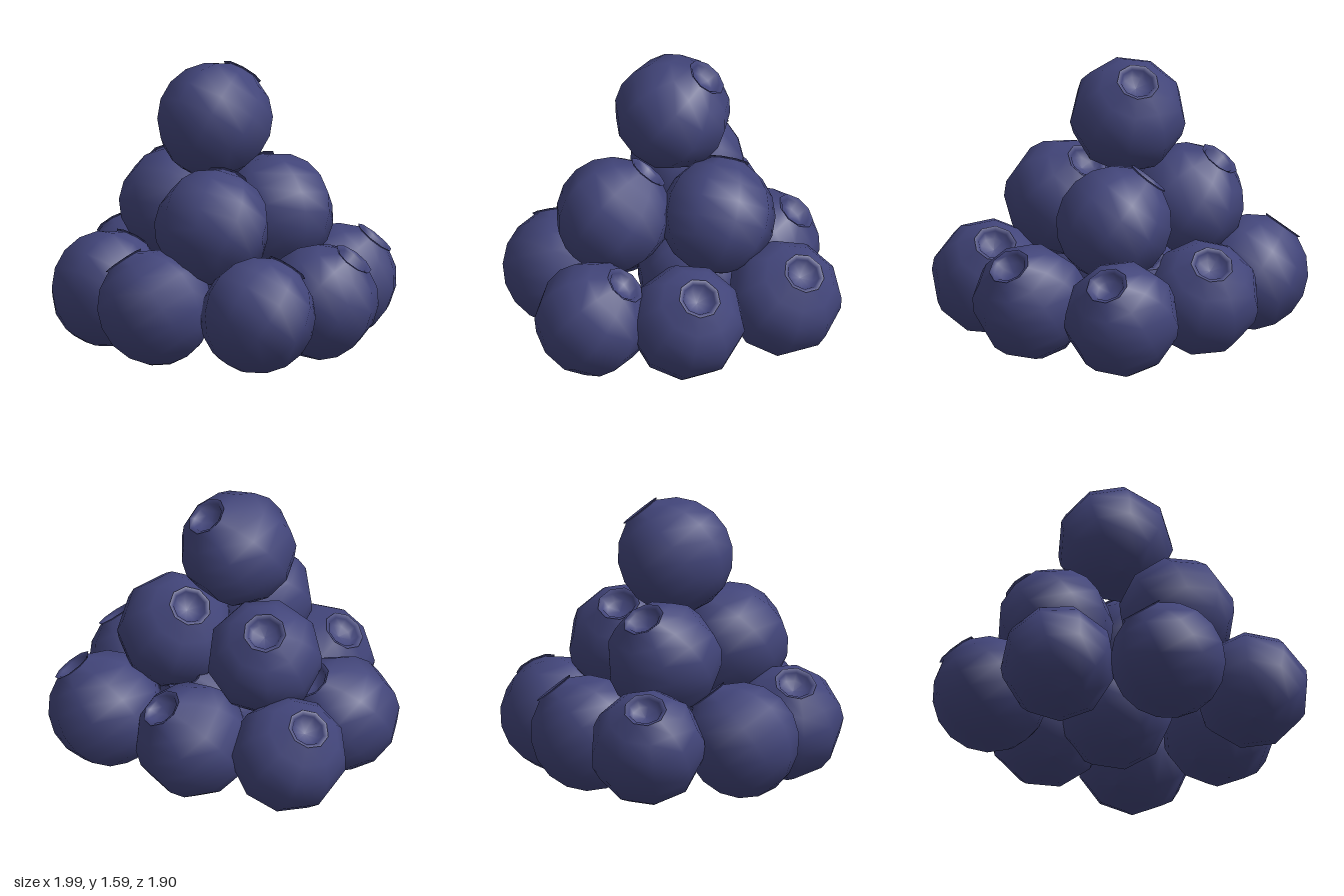
import * as THREE from 'three';

// Berry profile from the base, over the body, across the flared crown rim into the hollow
function berryGeometry() {
  const r = 0.322, pts = [];
  const steps = 8, end = 2.8;
  for (let i = 0; i <= steps; i++) {
    const a = (i / steps) * end;
    pts.push(new THREE.Vector2(r * Math.sin(a), -r * Math.cos(a)));
  }
  pts.push(
    new THREE.Vector2(0.118, 0.314),
    new THREE.Vector2(0.092, 0.302),
    new THREE.Vector2(0.072, 0.258),
    new THREE.Vector2(0, 0.25)
  );
  return new THREE.LatheGeometry(pts, 9);
}

// Each berry: centre x, y, z, then the sideways lean of its crown in x and z
const LAYERS = {
  bottomBerry: [
    [-0.68, 0.32, -0.08, -0.19, 0.0],
    [-0.25, 0.32, -0.43, 0.02, -0.19],
    [0.31, 0.32, -0.63, 0.14, -0.13],
    [0.65, 0.32, -0.14, 0.16, -0.09],
    [0.68, 0.32, 0.38, 0.04, -0.18],
    [0.13, 0.32, 0.63, -0.17, 0.065],
    [-0.44, 0.32, 0.42, 0.02, -0.18],
    [0.04, 0.32, -0.1, 0.0, -0.19],
  ],
  middleBerry: [
    [-0.33, 0.75, -0.01, -0.15, -0.1],
    [0.2, 0.75, -0.25, -0.19, -0.03],
    [0.27, 0.75, 0.32, -0.07, -0.18],
  ],
  topBerry: [[0, 1.27, 0.03, 0.02, -0.19]],
};

export function createModel() {
  const group = new THREE.Group();
  group.name = 'berryPile';
  const geometry = berryGeometry();
  const material = new THREE.MeshStandardMaterial({ color: 0x42457a });
  const up = new THREE.Vector3(0, 1, 0);

  for (const [name, berries] of Object.entries(LAYERS)) {
    berries.forEach(([x, y, z, leanX, leanZ], i) => {
      const berry = new THREE.Mesh(geometry, material);
      berry.name = name + (i + 1);
      berry.position.set(x, y, z);
      // Point the crown along its lean, then spin the berry about its own axis
      const axis = new THREE.Vector3(leanX, 0.24, leanZ).normalize();
      berry.quaternion.setFromUnitVectors(up, axis);
      berry.rotateY(i * 1.3);
      group.add(berry);
    });
  }
  return group;
}
